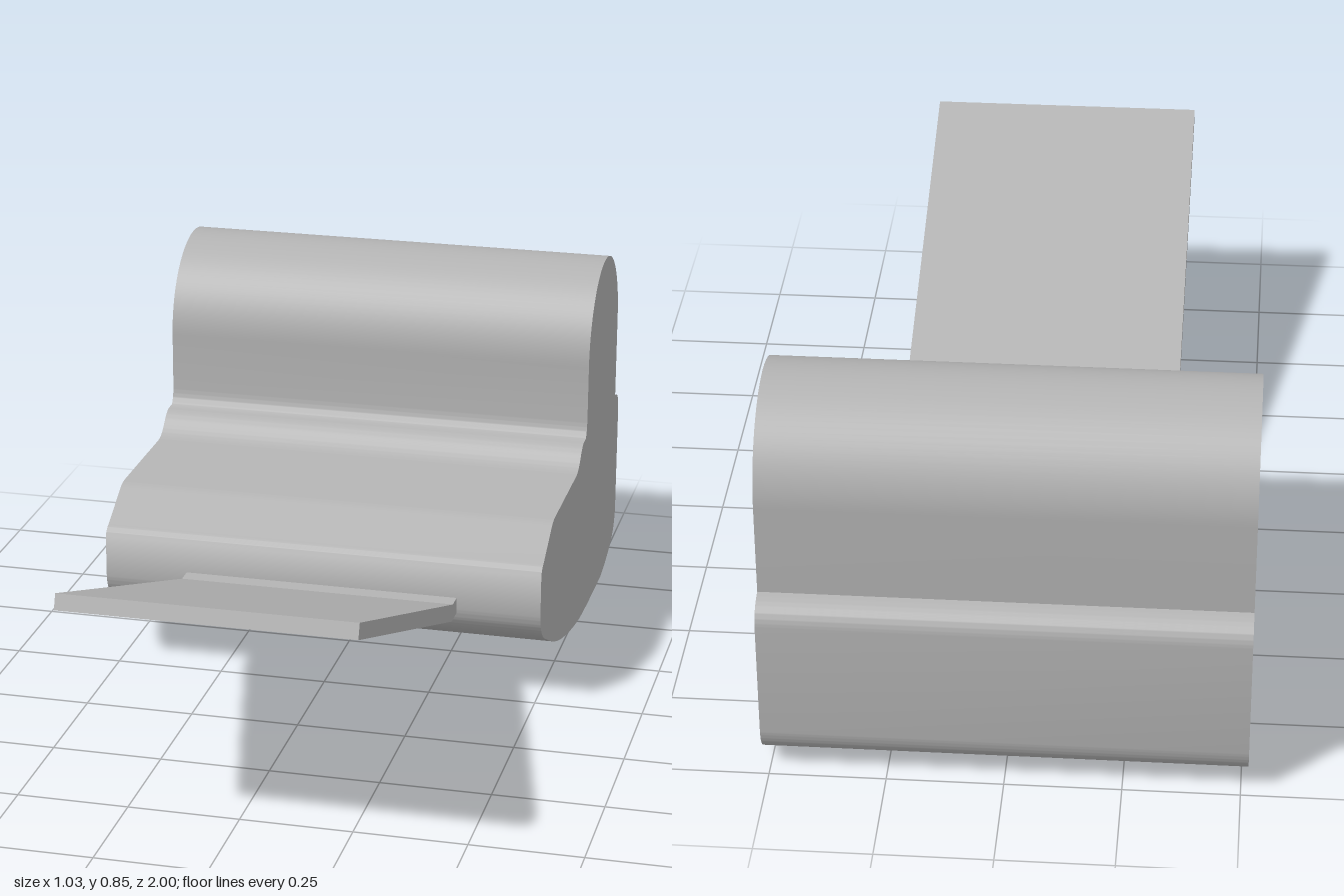
import * as THREE from 'three';
import { toCreasedNormals } from 'three/addons/utils/BufferGeometryUtils.js';

// Extrude a side profile, drawn as (z, y), across the full width in x.
function extrudeProfile(shape, width, crease) {
  const geometry = new THREE.ExtrudeGeometry(shape, { depth: width, bevelEnabled: false, curveSegments: 24 });
  geometry.translate(0, 0, -width / 2);
  geometry.rotateY(-Math.PI / 2);
  return toCreasedNormals(geometry, crease);
}

const points = (list) => list.map(([z, y]) => new THREE.Vector2(z, y));

export function createModel() {
  const model = new THREE.Group();
  model.name = 'recliner';
  const grey = new THREE.MeshStandardMaterial({ color: 0xb3b3b3 });
  grey.name = 'plain grey';

  // Body: curved underside, stepped back, rounded backrest and flat seat
  const side = new THREE.Shape();
  side.moveTo(0.035, 0.33);
  side.lineTo(0.035, 0.23);
  side.quadraticCurveTo(0.03, 0.18, -0.03, 0.15);
  side.splineThru(points([[-0.165, 0.087], [-0.31, 0.043], [-0.475, 0.012], [-0.61, 0.003]]));
  side.lineTo(-0.8, 0);
  side.quadraticCurveTo(-0.9, 0.016, -0.955, 0.043);
  side.quadraticCurveTo(-0.995, 0.065, -1, 0.11);
  side.lineTo(-1, 0.38);
  side.quadraticCurveTo(-0.998, 0.425, -0.945, 0.432);
  side.lineTo(-0.945, 0.64);
  side.absellipse(-0.74, 0.64, 0.205, 0.208, Math.PI, 0, true);
  side.lineTo(-0.535, 0.51);
  side.quadraticCurveTo(-0.533, 0.475, -0.518, 0.466);
  side.lineTo(-0.49, 0.465);
  side.bezierCurveTo(-0.45, 0.455, -0.45, 0.418, -0.4, 0.414);
  side.lineTo(-0.12, 0.414);
  side.quadraticCurveTo(-0.1, 0.413, -0.085, 0.405);
  side.lineTo(0.01, 0.352);
  side.quadraticCurveTo(0.03, 0.345, 0.035, 0.33);
  const body = new THREE.Mesh(extrudeProfile(side, 1.03, 0.7), grey);
  body.name = 'body';
  model.add(body);

  // Thin sloping board with a short level root set into the body
  const boardSide = new THREE.Shape(points([
    [0, 0.22], [0.085, 0.22], [1, 0.555], [0.988, 0.588], [0.075, 0.258], [0, 0.258],
  ]));
  const board = new THREE.Mesh(extrudeProfile(boardSide, 0.64, 0.2), grey);
  board.name = 'footBoard';
  model.add(board);

  return model;
}
